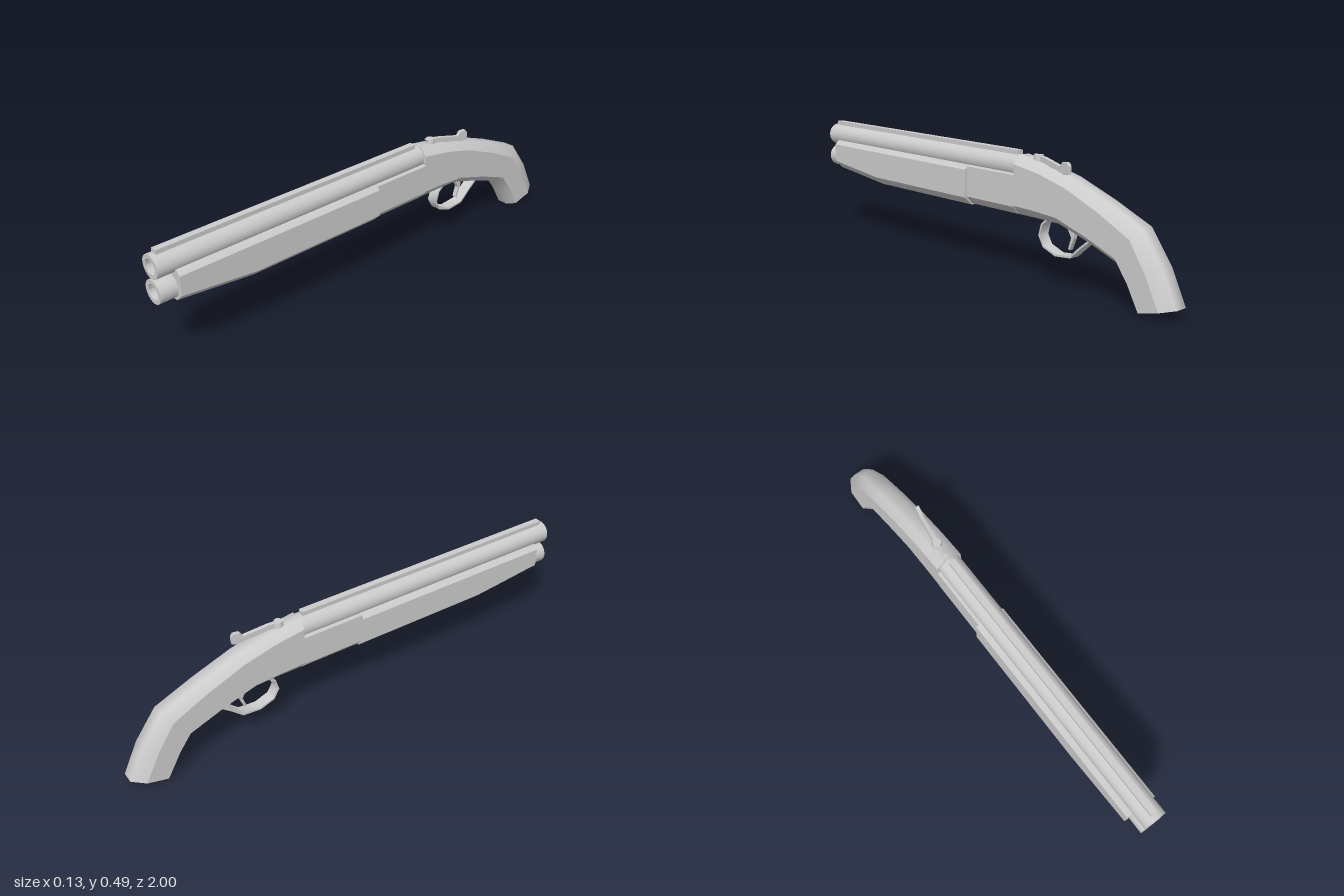
import * as THREE from 'three';
import { toCreasedNormals } from 'three/addons/utils/BufferGeometryUtils.js';

const material = new THREE.MeshStandardMaterial({ color: 0xcccccc });

function part(name, geometry) {
  const mesh = new THREE.Mesh(geometry, material);
  mesh.name = name;
  return mesh;
}

// Eight-sided section between a top and a bottom point [z, y]; ct and cb are the chamfer shares
function section({ top, bottom, w, ft, fb, ct, cb }) {
  const at = (x, t) => [x, THREE.MathUtils.lerp(top[1], bottom[1], t), THREE.MathUtils.lerp(top[0], bottom[0], t)];
  return [at(ft, 0), at(-ft, 0), at(-w, ct), at(-w, 1 - cb), at(-fb, 1), at(fb, 1), at(w, 1 - cb), at(w, ct)];
}

// Skin front-to-back sections: smooth top and bottom bands, crisp edges to the flat sides
function loft(sections) {
  const positions = [], indices = [];
  for (const band of [[7, 0, 1, 2], [2, 3], [3, 4, 5, 6], [6, 7]]) {
    const start = positions.length / 3, n = band.length;
    sections.forEach(s => band.forEach(k => positions.push(...s[k])));
    for (let s = 0; s < sections.length - 1; s++) {
      for (let k = 0; k < n - 1; k++) {
        const a = start + s * n + k, b = a + n;
        indices.push(a, b, a + 1, a + 1, b, b + 1);
      }
    }
  }
  [sections[0], sections[sections.length - 1]].forEach((ring, end) => {
    const start = positions.length / 3;
    ring.forEach(p => positions.push(...p));
    for (let k = 1; k < 7; k++) {
      indices.push(start, start + k + (end ? 1 : 0), start + k + (end ? 0 : 1));
    }
  });
  const g = new THREE.BufferGeometry();
  g.setAttribute('position', new THREE.Float32BufferAttribute(positions, 3));
  g.setIndex(indices);
  g.computeVertexNormals();
  return g;
}

// Side outline of [z, y] points, extruded across x
function sidePlate(points, width) {
  const shape = new THREE.Shape(points.map(p => new THREE.Vector2(...p)));
  const g = new THREE.ExtrudeGeometry(shape, { depth: width, bevelEnabled: false });
  return g.translate(0, 0, -width / 2).rotateY(-Math.PI / 2);
}

// Bent strip of constant thickness following [z, y] points
function strip(points, thickness, width) {
  const side = sign => points.map((p, i) => {
    const a = points[Math.max(i - 1, 0)], b = points[Math.min(i + 1, points.length - 1)];
    const dz = b[0] - a[0], dy = b[1] - a[1], k = sign * thickness / 2 / Math.hypot(dz, dy);
    return [p[0] - dy * k, p[1] + dz * k];
  });
  return toCreasedNormals(sidePlate([...side(1), ...side(-1).reverse()], width), 0.9);
}

function barrel(y) {
  const profile = [[0, 0.85], [0.03, 0.85], [0.03, 1], [0.047, 1], [0.047, -0.27], [0, -0.27]];
  // Profile runs from the bore outward, so reverse it to face the surface out
  const points = profile.reverse().map(p => new THREE.Vector2(...p));
  const g = new THREE.LatheGeometry(points, 24).rotateX(Math.PI / 2).translate(0, y, 0);
  return toCreasedNormals(g, 0.6);
}

export function createModel() {
  const model = new THREE.Group();

  // Stacked barrels and sighting rib
  model.add(part('upperBarrel', barrel(0.43)), part('lowerBarrel', barrel(0.33)));
  model.add(part('barrelRib', new THREE.BoxGeometry(0.027, 0.025, 1.21).translate(0, 0.4795, 0.375)));

  // Fore-end, tapering upward at the front
  const foreEnd = [[0.93, 0.28], [0.61, 0.245], [0.015, 0.245]].map(([z, y]) => section({
    top: [z, 0.409], bottom: [z, y], w: 0.065, ft: 0.047, fb: 0.03,
    ct: 0.018 / (0.409 - y), cb: 0.033 / (0.409 - y),
  }));
  model.add(part('foreEnd', loft(foreEnd)));

  // Receiver under the barrels
  const receiver = [0.015, -0.25].map(z => section({
    top: [z, 0.409], bottom: [z, 0.25], w: 0.056, ft: 0.051, fb: 0.027, ct: 0.03, cb: 0.2,
  }));
  model.add(part('receiver', loft(receiver)));

  // Stock sweeping down into the grip: top point, bottom point, top chamfer share
  const stock = [
    [[-0.25, 0.478], [-0.25, 0.25], 0.14],
    [[-0.38, 0.458], [-0.36, 0.25], 0.15],
    [[-0.52, 0.425], [-0.46, 0.248], 0.18],
    [[-0.69, 0.363], [-0.60, 0.207], 0.22],
    [[-0.845, 0.297], [-0.735, 0.158], 0.28],
    [[-0.935, 0.175], [-0.785, 0.09], 0.32],
    [[-0.998, 0.045], [-0.835, 0.003], 0.32],
  ].map(([top, bottom, ct]) => section({ top, bottom, w: 0.056, ft: 0.025, fb: 0.025, ct, cb: 0.16 }));
  model.add(part('stock', loft(stock)));

  // Trigger and its guard
  model.add(part('triggerGuard', strip([
    [-0.40, 0.255], [-0.37, 0.23], [-0.357, 0.185], [-0.38, 0.146], [-0.44, 0.124],
    [-0.515, 0.131], [-0.56, 0.172], [-0.605, 0.208], [-0.64, 0.215],
  ], 0.008, 0.046)));
  model.add(part('trigger', sidePlate([
    [-0.455, 0.255], [-0.525, 0.255], [-0.52, 0.2], [-0.5, 0.152], [-0.493, 0.158], [-0.507, 0.2], [-0.49, 0.23],
  ], 0.018)));

  // Top lever, turned sideways about its pivot
  const lever = new THREE.Group();
  lever.name = 'topLever';
  lever.position.z = -0.33;
  lever.rotation.y = -0.17;
  lever.add(part('leverPivot', new THREE.CylinderGeometry(0.018, 0.025, 0.04, 8).translate(0, 0.466, 0)));
  lever.add(part('leverArm', sidePlate([
    [0.025, 0.486], [-0.04, 0.481], [-0.14, 0.462], [-0.153, 0.48], [-0.178, 0.481],
    [-0.187, 0.468], [-0.187, 0.44], [-0.165, 0.434], [-0.12, 0.445], [0.01, 0.462],
  ], 0.016)));
  model.add(lever);

  return model;
}
